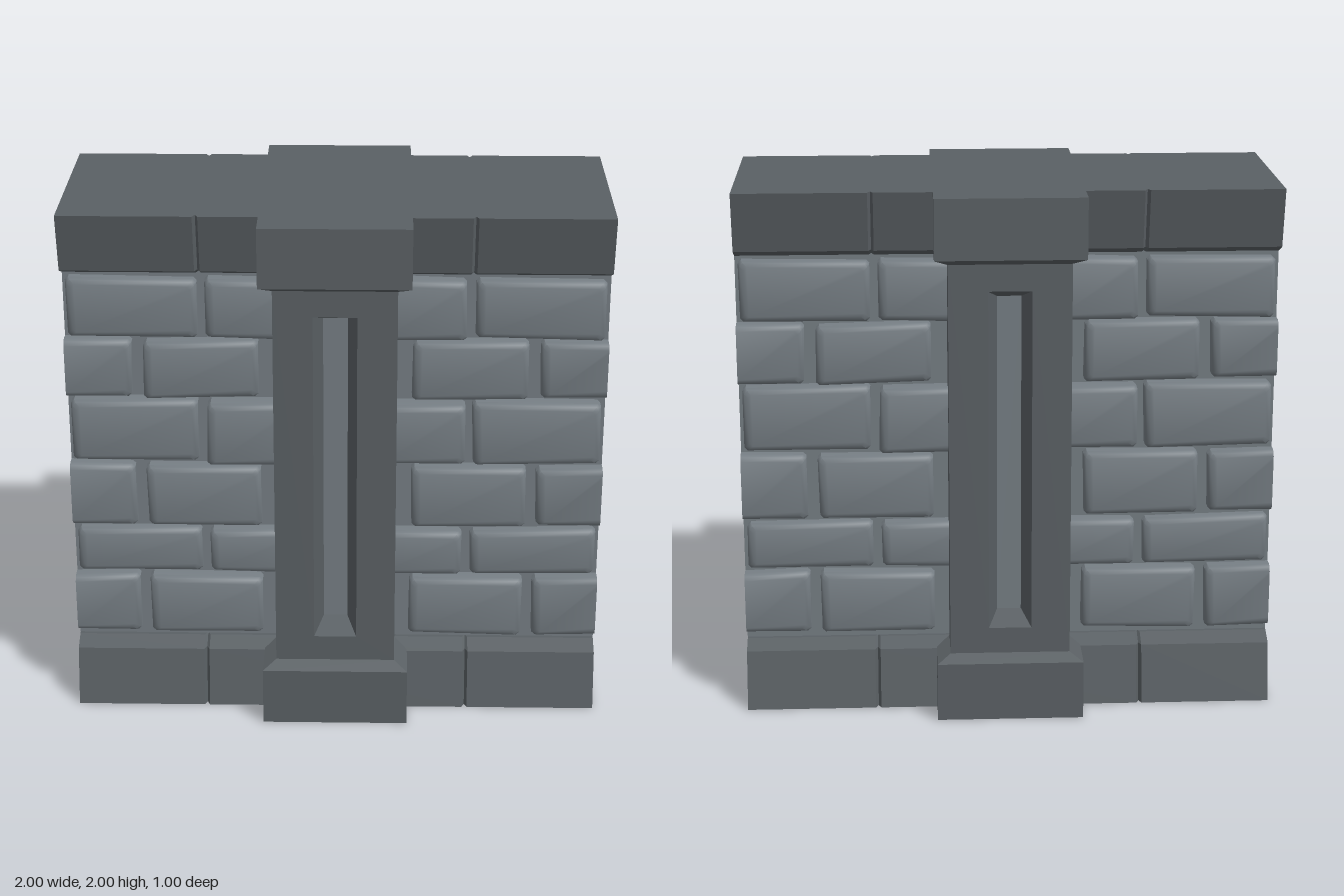
import * as THREE from 'three';
import { toCreasedNormals } from 'three/addons/utils/BufferGeometryUtils.js';

const trim = new THREE.MeshStandardMaterial({ color: 0x5a6064 });
const stone = new THREE.MeshStandardMaterial({ color: 0x757d83 });

// Places ring coordinates (u, v) at distance t along an axis, keeping orientation.
const place = {
  x: (u, v, t) => [t, u, v],
  y: (u, v, t) => [v, t, u],
  z: (u, v, t) => [u, v, t],
};

// Skins counter-clockwise rings [t, points] into a flat-faced solid.
function loft(axis, rings, capEnd = true) {
  const pos = [];
  const at = (r, i) => {
    const [t, pts] = rings[r];
    const [u, v] = pts[i % pts.length];
    return place[axis](u, v, t);
  };
  const tri = (a, b, c) => pos.push(...a, ...b, ...c);
  const n = rings[0][1].length, last = rings.length - 1;
  for (let r = 0; r < last; r++) {
    for (let i = 0; i < n; i++) {
      tri(at(r, i), at(r, i + 1), at(r + 1, i + 1));
      tri(at(r, i), at(r + 1, i + 1), at(r + 1, i));
    }
  }
  for (let i = 1; i < n - 1; i++) {
    tri(at(0, 0), at(0, i + 1), at(0, i));
    if (capEnd) tri(at(last, 0), at(last, i), at(last, i + 1));
  }
  const g = new THREE.BufferGeometry();
  g.setAttribute('position', new THREE.Float32BufferAttribute(pos, 3));
  g.computeVertexNormals();
  return g;
}

const rect = (u0, u1, v0, v1) => [[u0, v0], [u1, v0], [u1, v1], [u0, v1]];

function add(parent, name, geometry, material) {
  const mesh = new THREE.Mesh(geometry, material);
  mesh.name = name;
  parent.add(mesh);
  return mesh;
}

let seed = 7;
function jitter(amount) {
  seed = (seed * 16807) % 2147483647;
  return (seed / 2147483647 - 0.5) * 2 * amount;
}

// Slightly uneven brick with rounded edges, cut flush at the wall ends.
function brickGeometry(x0, x1, y0, y1, depth) {
  const wobble = [0, 1, 2, 3].map(() => [jitter(0.004), jitter(0.007)]);
  const ring = (inset, z) => {
    const c = 0.012;
    const [a, b, d, e] = [x0 + inset, x1 - inset, y0 + inset, y1 - inset];
    const pts = [
      [a + c, d, 0], [b - c, d, 1], [b, d + c, 1], [b, e - c, 2],
      [b - c, e, 2], [a + c, e, 3], [a, e - c, 3], [a, d + c, 0],
    ];
    return [z, pts.map(([x, y, k]) => [
      THREE.MathUtils.clamp(x + wobble[k][0], -1, 1), y + wobble[k][1],
    ])];
  };
  const g = loft('z', [
    ring(0, 0.2), ring(0, depth - 0.024), ring(0.007, depth - 0.008), ring(0.022, depth),
  ]);
  return toCreasedNormals(g, 0.75);
}

// Rows of bricks: bottom, top, protrusion of the face.
const rows = [
  [0.285, 0.525, 0.32], [0.545, 0.725, 0.315], [0.745, 0.99, 0.315],
  [1.01, 1.255, 0.335], [1.27, 1.495, 0.315], [1.505, 1.735, 0.315],
];

function createFace() {
  const face = new THREE.Group();
  const bricks = new THREE.Group();
  bricks.name = 'bricks';
  face.add(bricks);
  rows.forEach(([y0, y1, depth], row) => {
    const spans = row % 2
      ? [[0.15, 0.478, depth], [0.51, 0.985, depth - 0.015]]
      : [[0.283, 0.712, depth], [0.755, 1.1, depth - 0.008]];
    for (const [a, b, d] of spans) {
      add(bricks, 'brick', brickGeometry(a, b, y0, y1, d), stone);
      add(bricks, 'brick', brickGeometry(-b, -a, y0, y1, d), stone);
    }
  });

  // Pillar shaft with a tapered slot
  const shaft = rect(-0.225, 0.225, 0.25, 1.75);
  add(face, 'pillarShaft', loft('z', [
    [0, shaft], [0.45, shaft],
    [0.45, rect(-0.08, 0.08, 0.35, 1.65)],
    [0.35, rect(-0.045, 0.045, 0.39, 1.61)],
  ], false), trim);
  add(face, 'slotPanel', new THREE.PlaneGeometry(0.09, 1.22), stone)
    .position.set(0, 1, 0.35);
  return face;
}

// Trim course along the wall, notched at the block joints
function bandGeometry(top) {
  const profile = (inset) => {
    const half = [[0, 0.375], [0.222, 0.33], [0.25, 0.265]];
    const pts = [
      ...half.map(([y, z]) => [y, -(z - inset)]),
      ...half.reverse().map(([y, z]) => [y, z - inset]),
    ];
    return top ? pts.map(([y, z]) => [2 - y, z]).reverse() : pts;
  };
  const stations = [[-0.999, 0]];
  for (const joint of [-0.5, 0.5]) {
    stations.push([joint - 0.01, 0], [joint, 0.022], [joint + 0.01, 0]);
  }
  stations.push([0.999, 0]);
  return loft('x', stations.map(([x, inset]) => [x, profile(inset)]));
}

// Chamfered block at the foot or head of the pillar
function blockGeometry(top) {
  const wide = rect(-0.5, 0.5, -0.275, 0.275);
  const narrow = rect(-0.45, 0.45, -0.225, 0.225);
  const rings = [[0, wide], [0.225, wide], [0.25, narrow]];
  return loft('y', top ? rings.map(([y, p]) => [2 - y, p]).reverse() : rings);
}

export function createModel() {
  const model = new THREE.Group();
  model.name = 'wallSegment';

  const core = add(model, 'wallCore', new THREE.BoxGeometry(2, 1.6, 0.5), stone);
  core.position.y = 1;

  for (const top of [false, true]) {
    add(model, top ? 'capCourse' : 'baseCourse', bandGeometry(top), trim);
    add(model, top ? 'pillarCapital' : 'pillarPlinth', blockGeometry(top), trim);
  }

  // The back is the front turned half round
  const front = createFace();
  front.name = 'frontFace';
  const back = front.clone();
  back.name = 'backFace';
  back.rotation.y = Math.PI;
  model.add(front, back);
  return model;
}
